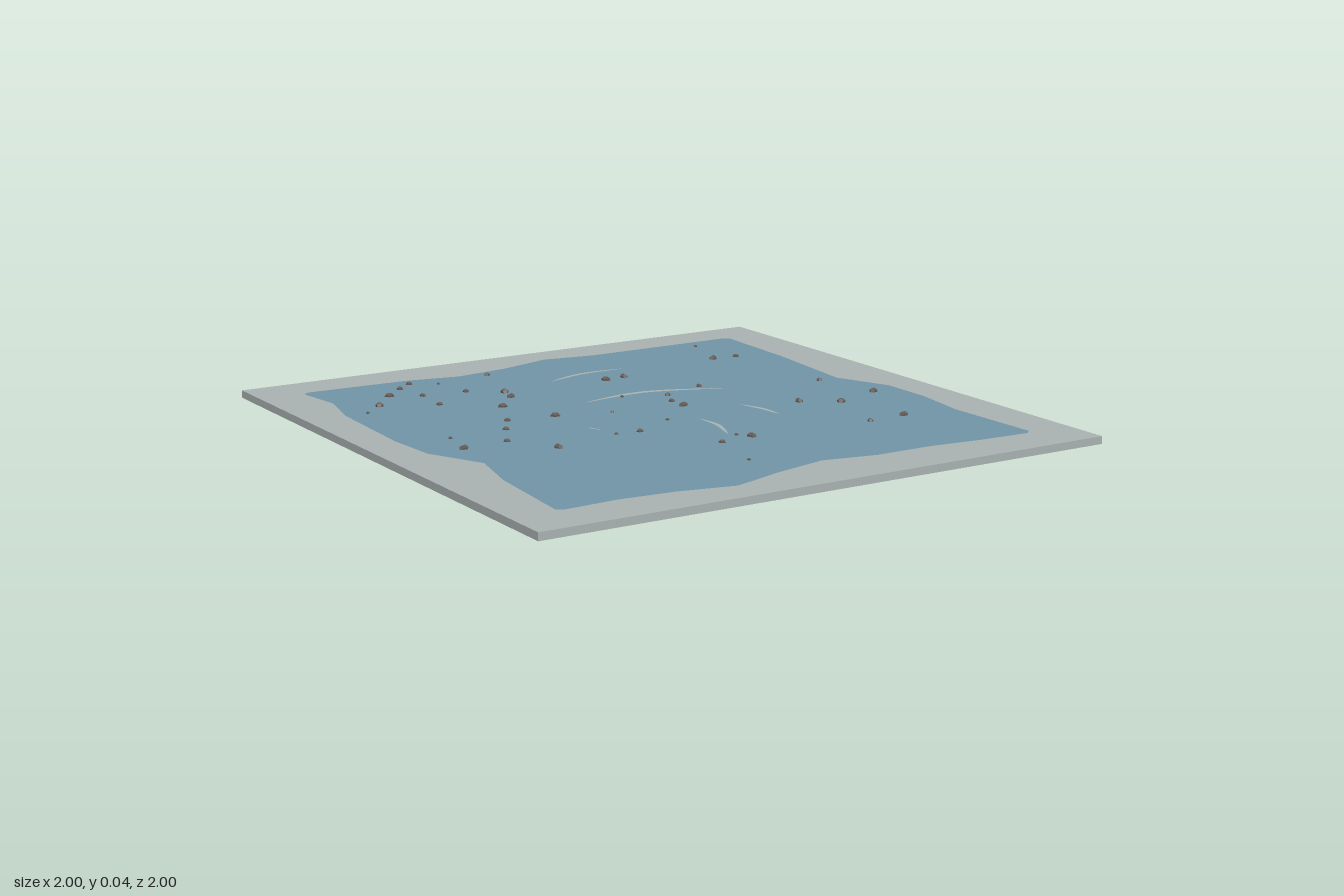
import * as THREE from 'three';

const stone = new THREE.MeshStandardMaterial({ name: 'paleStone', color: 0xa9b1b1 });
const blue = new THREE.MeshStandardMaterial({ name: 'waterBlue', color: 0x7094a6 });
const brown = new THREE.MeshStandardMaterial({ name: 'rockBrown', color: 0x645a55 });
brown.flatShading = true;

const TOP = 0.026;

// Pool shoreline as x, z pairs
const shore = [
  [-0.85, -0.83], [-0.83, -0.85], [-0.47, -0.835], [-0.29, -0.8], [-0.1, -0.825], [0.09, -0.88],
  [0.27, -0.85], [0.83, -0.85], [0.845, -0.83], [0.83, -0.48], [0.79, -0.1], [0.87, 0.09],
  [0.87, 0.28], [0.84, 0.48], [0.85, 0.83], [0.83, 0.85], [0.65, 0.84], [0.47, 0.82],
  [0.27, 0.82], [0.09, 0.785], [-0.1, 0.83], [-0.28, 0.89], [-0.47, 0.85], [-0.65, 0.835],
  [-0.83, 0.845], [-0.85, 0.83], [-0.82, 0.48], [-0.775, 0.28], [-0.865, 0.09], [-0.88, -0.1],
  [-0.865, -0.48], [-0.825, -0.66],
];

// Ripple gaps: start, middle, end (x, z) and half width
const ripples = [
  [[-0.07, -0.56], [0.08, -0.613], [0.25, -0.61], 0.008],
  [[-0.13, -0.235], [0.12, -0.265], [0.39, -0.165], 0.01],
  [[-0.285, 0.055], [-0.282, 0.085], [-0.265, 0.11], 0.003],
  [[0.29, 0.055], [0.318, 0.14], [0.323, 0.235], 0.008],
  [[0.07, 0.15], [0.074, 0.25], [0.035, 0.365], 0.008],
];

// Pebbles: x, z, size
const pebbles = [
  [-0.49, -0.78, 2], [-0.55, -0.73, 2], [-0.405, -0.73, 1], [-0.2, -0.765, 2], [0.66, -0.78, 1],
  [-0.625, -0.655, 3], [-0.53, -0.6, 2], [-0.715, -0.545, 3], [-0.79, -0.475, 1], [-0.54, -0.46, 2],
  [-0.38, -0.58, 2], [-0.275, -0.505, 3], [-0.29, -0.435, 3], [-0.38, -0.325, 3], [0.105, -0.485, 3],
  [0.18, -0.49, 3], [0.6, -0.575, 3], [0.69, -0.565, 2], [0.02, -0.24, 1], [0.32, -0.235, 2],
  [0.16, -0.18, 2], [-0.46, -0.15, 2], [-0.3, -0.125, 3], [0.125, -0.1, 2], [-0.12, -0.07, 1],
  [0.125, -0.03, 3], [-0.52, -0.05, 2], [-0.72, -0.04, 1], [0.715, -0.095, 2], [-0.745, 0.095, 3],
  [-0.59, 0.085, 2], [-0.025, 0.11, 1], [0.475, 0.125, 3], [0.77, 0.135, 3], [-0.26, 0.185, 1],
  [-0.18, 0.195, 2], [-0.495, 0.235, 3], [0.59, 0.2, 3], [0.05, 0.39, 1], [-0.04, 0.445, 2],
  [0.08, 0.43, 3], [0.51, 0.465, 2], [0.65, 0.455, 3], [-0.09, 0.665, 1],
];

const toShape = ([x, z]) => new THREE.Vector2(x, -z);

// Tapered crescent following a curve
function crescent([a, b, c, w]) {
  const pts = new THREE.SplineCurve([a, b, c].map(toShape)).getPoints(10);
  const side = (s) => pts.map((p, i) => {
    const d = pts[Math.min(i + 1, 10)].clone().sub(pts[Math.max(i - 1, 0)]).normalize();
    const k = s * w * Math.sin(Math.PI * i / 10);
    return new THREE.Vector2(p.x - d.y * k, p.y + d.x * k);
  });
  return new THREE.Path([...side(1), ...side(-1).reverse().slice(1, -1)]);
}

export function createModel() {
  const model = new THREE.Group();
  model.name = 'pondTile';

  // Base slab
  const slab = new THREE.Mesh(new THREE.BoxGeometry(2, 0.025, 2), stone);
  slab.name = 'slab';
  slab.position.y = 0.0125;
  model.add(slab);

  // Water sheet with ripple gaps
  const outline = new THREE.Shape(shore.map(toShape));
  outline.holes = ripples.map(crescent);
  const water = new THREE.Mesh(new THREE.ShapeGeometry(outline).rotateX(-Math.PI / 2), blue);
  water.name = 'water';
  water.position.y = TOP;
  model.add(water);

  // Half-sunk pebbles
  const rocks = new THREE.Group();
  rocks.name = 'pebbles';
  const rockShape = new THREE.DodecahedronGeometry(1);
  pebbles.forEach(([x, z, size], i) => {
    const r = 0.002 + size * 0.005;
    const rock = new THREE.Mesh(rockShape, brown);
    rock.name = 'pebble';
    rock.position.set(x, TOP, z);
    rock.scale.set(r, 0.004 + size * 0.003, r * 0.85);
    rock.rotation.y = i * 2.4;
    rocks.add(rock);
  });
  model.add(rocks);
  return model;
}
